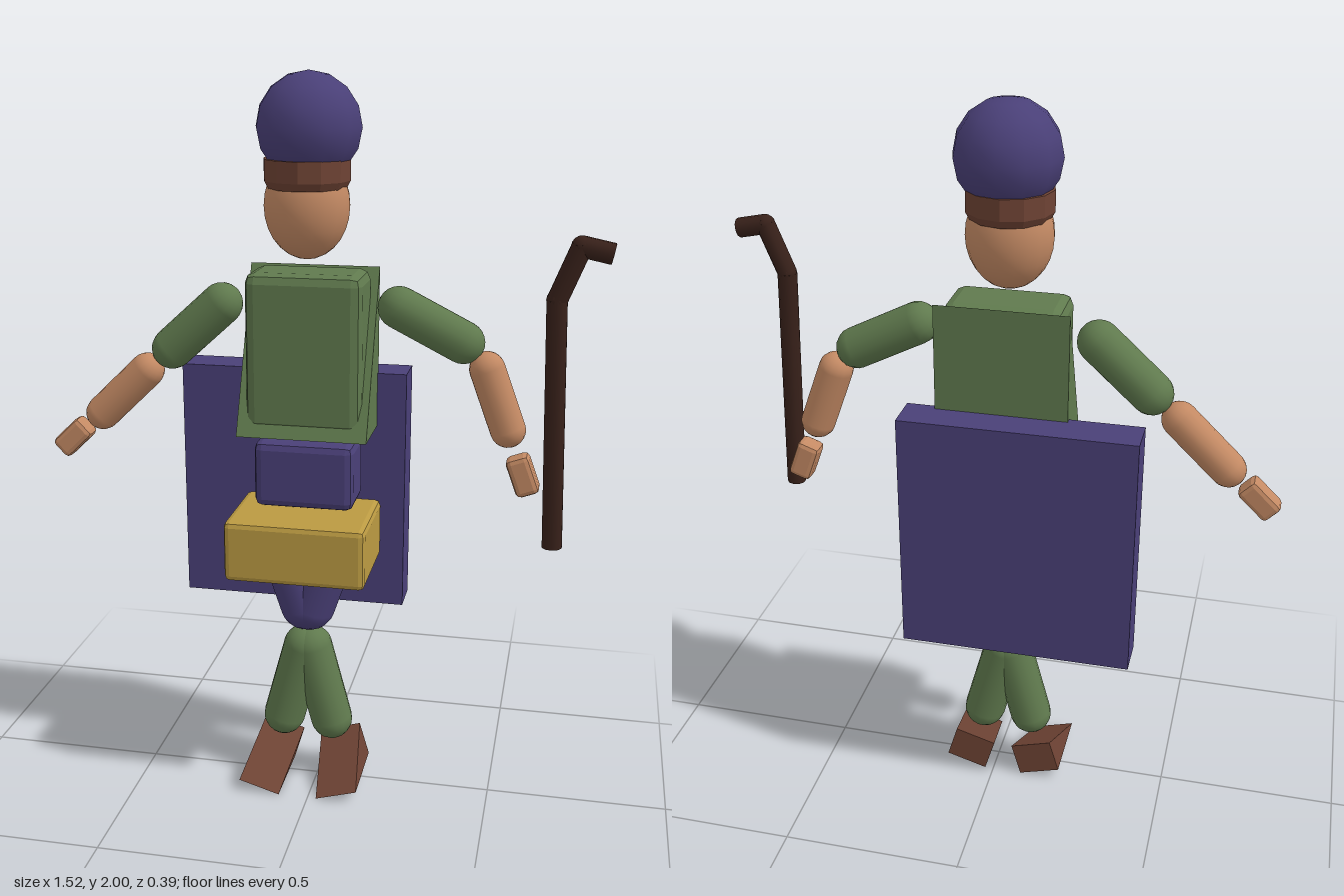
import * as THREE from 'three';
import { RoundedBoxGeometry } from 'three/addons/geometries/RoundedBoxGeometry.js';

const mat = (color, flatShading = false) => new THREE.MeshStandardMaterial({ color, flatShading });
const PURPLE = 0x4a4078, GREEN = 0x607a4e, SKIN = 0xc48a64, BROWN = 0x6e4334, DARK = 0x38211a, GOLD = 0xbb9a42;
const CX = -0.03, Z = -0.01; // body axis

export function createModel() {
  const model = new THREE.Group();

  const add = (name, geometry, color, x, y, z, flat = false) => {
    const mesh = new THREE.Mesh(geometry, mat(color, flat));
    mesh.name = name;
    mesh.position.set(x, y, z);
    model.add(mesh);
    return mesh;
  };

  // box from its lower and upper corners, with chamfered edges
  const block = (name, color, [x0, y0, z0], [x1, y1, z1], bevel) => {
    const size = [x1 - x0, y1 - y0, z1 - z0];
    const geo = bevel ? new RoundedBoxGeometry(...size, 1, bevel) : new THREE.BoxGeometry(...size);
    return add(name, geo, color, (x0 + x1) / 2, (y0 + y1) / 2, (z0 + z1) / 2, true);
  };

  // turn a mesh so its y axis runs along a -> b in the front plane
  const aim = (mesh, a, b) => { mesh.rotation.z = Math.atan2(a[0] - b[0], b[1] - a[1]); return mesh; };

  // round-ended limb between two sphere centres
  const limb = (name, color, r, a, b) => aim(add(name,
    new THREE.CapsuleGeometry(r, Math.hypot(b[0] - a[0], b[1] - a[1]), 6, 16),
    color, (a[0] + b[0]) / 2, (a[1] + b[1]) / 2, Z), a, b);

  // triangular prism: vertical back, sloping front, centred
  const wedge = (w, h, d) => {
    const s = new THREE.Shape([[-d / 2, -h / 2], [d / 2, -h / 2], [-d / 2, h / 2]].map(p => new THREE.Vector2(...p)));
    return new THREE.ExtrudeGeometry(s, { depth: w, bevelEnabled: false })
      .translate(0, 0, -w / 2).rotateY(-Math.PI / 2);
  };

  // head, band and hat
  add('head', new THREE.SphereGeometry(1, 20, 14), SKIN, CX, 1.66, Z).scale.set(0.114, 0.14, 0.104);
  const band = [[0, 1.70], [0.104, 1.705], [0.115, 1.725], [0.115, 1.78], [0, 1.79]].map(p => new THREE.Vector2(...p));
  add('hatBand', new THREE.LatheGeometry(band, 12), BROWN, CX, 0, Z, true);
  add('hat', new THREE.SphereGeometry(0.14, 12, 8), PURPLE, CX + 0.005, 1.86, Z);

  // torso, skirted tunic, waist, belt pouch and cape
  block('torso', GREEN, [-0.185, 1.06, -0.095], [0.13, 1.49, 0.078], 0.028);
  add('tunic', wedge(0.355, 0.44, 0.195), GREEN, -0.028, 1.27, -0.005, true);
  block('waist', PURPLE, [-0.165, 0.845, -0.085], [0.11, 1.03, 0.07], 0.022);
  block('beltPouch', GOLD, [-0.22, 0.67, -0.085], [0.165, 0.84, 0.195], 0.016);
  block('cape', PURPLE, [-0.405, 0.52, -0.195], [0.23, 1.2, -0.085]);

  // legs and feet
  for (const [side, s] of [['right', -1], ['left', 1]]) {
    limb(side + 'Thigh', PURPLE, 0.07, [CX + s * 0.085, 0.76], [CX + s * 0.008, 0.53]);
    limb(side + 'Shin', GREEN, 0.06, [CX + s * 0.07, 0.18], [CX + s * 0.01, 0.405]);
    add(side + 'Foot', wedge(0.12, 0.1, 0.225), BROWN, CX + s * 0.098, 0.066, 0.033, true).rotation.z = s * 0.285;
  }

  // arms: shoulder, elbow, forearm ends, hand centre
  const arms = {
    right: [[-0.265, 1.392], [-0.408, 1.262], [-0.483, 1.197], [-0.618, 1.067], [-0.706, 0.992]],
    left: [[0.217, 1.4], [0.388, 1.314], [0.453, 1.245], [0.513, 1.083], [0.558, 0.96]],
  };
  for (const [side, [a, b, c, d, h]] of Object.entries(arms)) {
    limb(side + 'UpperArm', GREEN, 0.057, a, b);
    limb(side + 'Forearm', SKIN, 0.048, c, d);
    const hand = add(side + 'Hand', new RoundedBoxGeometry(0.065, 0.11, 0.06, 1, 0.014), SKIN, h[0], h[1], Z, true);
    aim(hand, c, d);
  }

  // crooked staff: straight rods with round joints
  const staff = new THREE.Group();
  staff.name = 'staff';
  const pts = [[0.647, 0.81], [0.627, 1.46], [0.68, 1.594], [0.757, 1.578]];
  const wood = mat(DARK);
  for (let i = 0; i < 3; i++) {
    const a = pts[i], b = pts[i + 1];
    const rod = new THREE.Mesh(new THREE.CylinderGeometry(0.027, 0.027, Math.hypot(b[0] - a[0], b[1] - a[1]), 10), wood);
    rod.name = 'staffRod';
    rod.position.set((a[0] + b[0]) / 2, (a[1] + b[1]) / 2, 0.118);
    staff.add(aim(rod, a, b));
    if (i === 0) continue;
    const joint = new THREE.Mesh(new THREE.SphereGeometry(0.027, 10, 8), wood);
    joint.name = 'staffJoint';
    joint.position.set(a[0], a[1], 0.118);
    staff.add(joint);
  }
  model.add(staff);

  return model;
}
